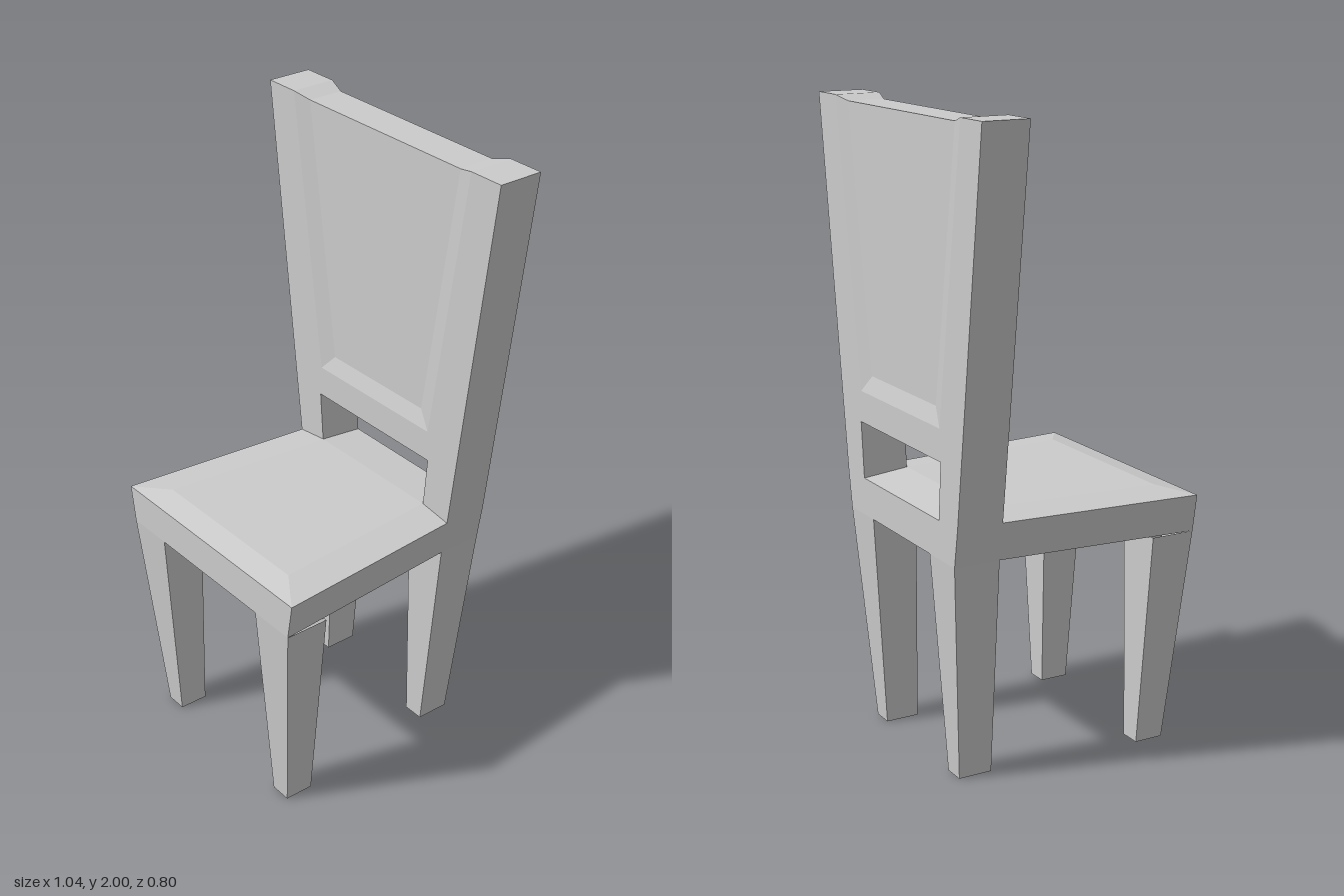
import * as THREE from 'three';

const material = new THREE.MeshStandardMaterial({ color: 0xcccccc, flatShading: true, side: THREE.DoubleSide });

// Mesh from four-cornered faces; corners run counter-clockwise seen from outside
function faceMesh(name, quads) {
  const pos = [];
  for (const [a, b, c, d] of quads) pos.push(...a, ...b, ...c, ...a, ...c, ...d);
  const geo = new THREE.BufferGeometry();
  geo.setAttribute('position', new THREE.Float32BufferAttribute(pos, 3));
  geo.computeVertexNormals();
  const mesh = new THREE.Mesh(geo, material);
  mesh.name = name;
  return mesh;
}

// Add mirrored copies of faces, reversing the corner order so they still face outward
const withMirror = (quads, flip) => [...quads, ...quads.map(q => q.map(flip).reverse())];
const flipX = ([x, y, z]) => [-x, y, z];

// Tapered four-sided leg, open at both ends; each end is [xIn, xOut, zBack, zFront]
function leg(top, bottom, yTop) {
  const ring = ([x0, x1, z0, z1], y) => [[x0, y, z1], [x1, y, z1], [x1, y, z0], [x0, y, z0]];
  const t = ring(top, yTop), b = ring(bottom, 0);
  return t.map((_, i) => {
    const j = (i + 1) % 4;
    return [b[i], b[j], t[j], t[i]];
  });
}

export function createModel() {
  const chair = new THREE.Group();
  chair.name = 'chair';
  const add = (name, quads) => chair.add(faceMesh(name, withMirror(quads, flipX)));

  const yRail = 0.7, ySeat = 0.82, yCrown = 0.835;
  const zFront = 0.4, zPost = -0.25, zRear = -0.4;

  // Legs
  add('frontLegs', leg([0.24, 0.4, 0.255, zFront], [0.255, 0.325, 0.255, 0.35], yRail));
  add('backLegs', leg([0.19, 0.345, zRear, zPost], [0.21, 0.28, -0.355, -0.245], yRail));

  // Seat rails, hollow underneath
  add('seatRails', [
    [[0, yRail, zFront], [0.4, yRail, zFront], [0.42, ySeat, zFront], [0, ySeat, zFront]],
    [[0.4, yRail, zFront], [0.345, yRail, zPost], [0.365, ySeat, zPost], [0.42, ySeat, zFront]],
    [[0.345, yRail, zPost], [0.345, yRail, zRear], [0.365, ySeat, zRear], [0.365, ySeat, zPost]],
    [[0.345, yRail, zRear], [0, yRail, zRear], [0, ySeat, zRear], [0.365, ySeat, zRear]],
  ]);

  // Slightly crowned seat top, sloping down through the backrest opening
  add('seat', [
    [[0, ySeat, zFront], [0.42, ySeat, zFront], [0.3, yCrown, 0.32], [0, yCrown, 0.32]],
    [[0.42, ySeat, zFront], [0.365, ySeat, zPost], [0.25, yCrown, zPost], [0.3, yCrown, 0.32]],
    [[0, yCrown, 0.32], [0.3, yCrown, 0.32], [0.25, yCrown, zPost], [0, yCrown, zPost]],
    [[0, yCrown, zPost], [0.25, yCrown, zPost], [0.25, ySeat, zRear], [0, ySeat, zRear]],
  ]);

  // Backrest: one face with a sunken panel, mirrored front to back
  const flipZ = ([x, y, z]) => [x, y, zPost + zRear - z];
  const post = y => 0.365 + (y - ySeat) * 0.155 / 1.18;
  const outer = (x, y) => [x, y, zPost];
  const inner = (x, y) => [x, y, zPost - 0.015];

  add('backrestFrame', withMirror([
    [outer(0.25, ySeat), outer(0.365, ySeat), outer(post(1), 1), outer(0.265, 1)],
    [outer(0, 1), outer(0.265, 1), outer(0.26, 1.1), outer(0, 1.1)],
    [outer(0.265, 1), outer(post(1), 1), outer(post(1.1), 1.1), outer(0.26, 1.1)],
    [outer(0.26, 1.1), outer(post(1.1), 1.1), outer(0.52, 2), outer(0.4, 2)],
  ], flipZ));
  add('backrestPanel', withMirror([
    [outer(0.26, 1.1), outer(0.4, 2), inner(0.34, 1.985), inner(0.21, 1.155)],
    [outer(0, 1.1), outer(0.26, 1.1), inner(0.21, 1.155), inner(0, 1.155)],
    [inner(0, 1.155), inner(0.21, 1.155), inner(0.34, 1.985), inner(0, 1.985)],
  ], flipZ));

  // Faces across the thickness of the backrest: sides, top edge and opening
  const span = (a, b) => [a, b, flipZ(b), flipZ(a)];
  add('backrestEdges', [
    span(outer(0.52, 2), outer(0.365, ySeat)),
    span(outer(0.4, 2), outer(0.52, 2)),
    span(inner(0.34, 1.985), outer(0.4, 2)),
    span(inner(0, 1.985), inner(0.34, 1.985)),
    span(outer(0.25, ySeat), outer(0.265, 1)),
    span(outer(0.265, 1), outer(0, 1)),
  ]);

  return chair;
}
